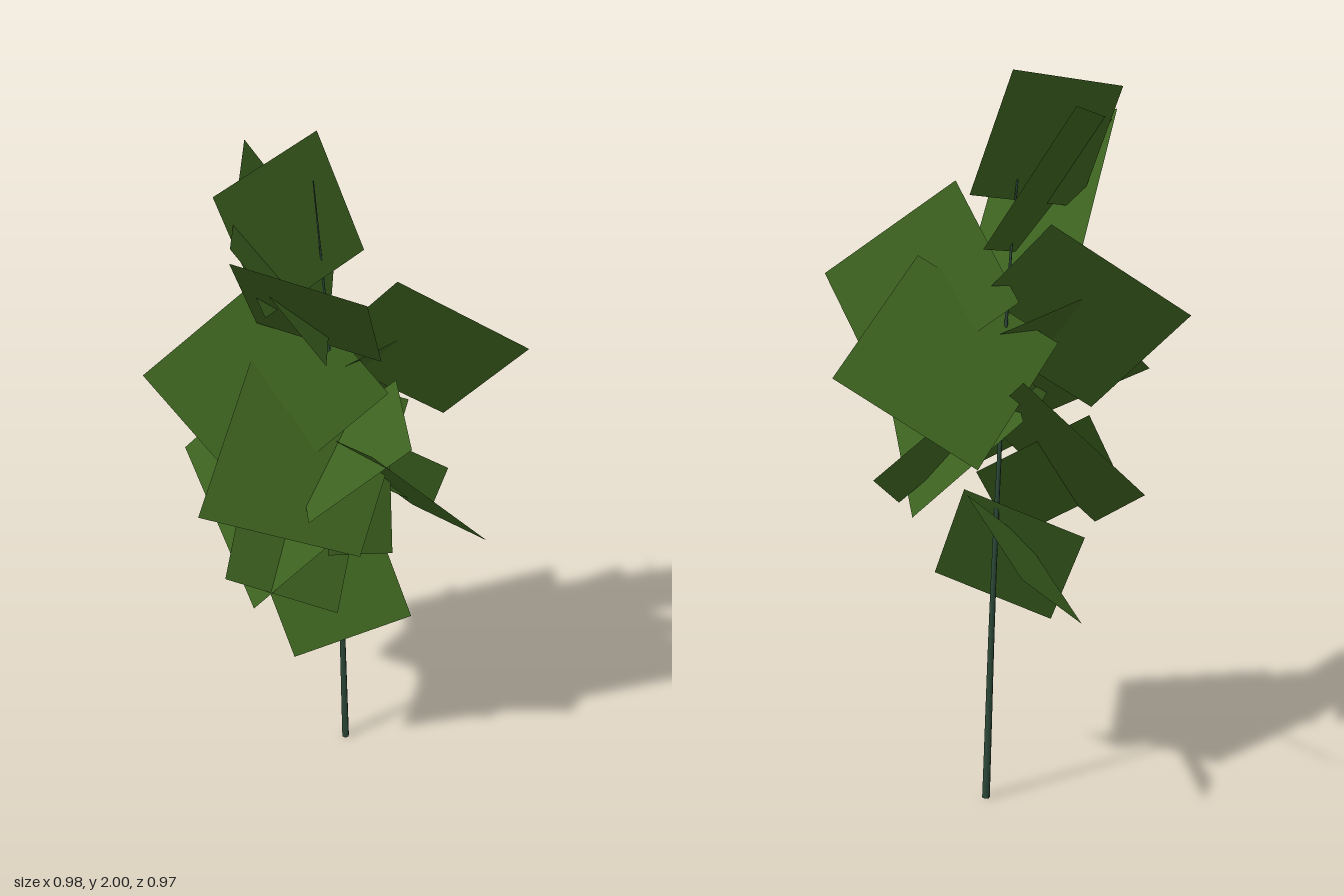
import * as THREE from 'three';

const leafGreen = new THREE.MeshStandardMaterial({ color: 0x3c611f, side: THREE.DoubleSide });
leafGreen.name = 'leaf green';
const stemGreen = new THREE.MeshStandardMaterial({ color: 0x2c4838 });
stemGreen.name = 'stem green';

// Each leaf is a flat card: one corner and its two neighbours; the fourth follows.
const topLeaves = [
  [[-0.02, 1.87, 0.41], [0.30, 1.81, 0.308], [-0.19, 1.48, 0.075]],
  [[-0.09, 2.0, -0.06], [-0.16, 1.945, 0.28], [0.02, 1.675, -0.11]],
  [[-0.305, 1.92, -0.05], [-0.14, 1.56, -0.215], [-0.08, 1.85, 0.325]],
  [[0.43, 1.44, -0.263], [0.19, 1.69, 0], [0.175, 1.14, -0.275]],
];
const middleLeaves = [
  [[0.14, 1.225, -0.485], [-0.175, 1.0, -0.27], [0.2, 1.5, -0.13]],
  [[-0.4, 1.36, 0.293], [-0.19, 1.61, -0.02], [-0.07, 1.065, 0.265]],
  [[-0.49, 0.94, 0.02], [-0.065, 0.73, 0.29], [-0.26, 1.23, -0.19]],
  [[-0.09, 1.145, 0.482], [0.21, 0.96, 0.19], [-0.18, 1.4, 0.11]],
  [[0.49, 1.025, 0.02], [0.10, 0.815, -0.25], [0.25, 1.3, 0.2]],
];
const lowerLeaves = [
  [[0.32, 1.305, 0.125], [0.11, 1.085, 0.28], [0.13, 1.325, -0.1]],
  [[0.165, 0.92, -0.33], [0.17, 0.84, -0.235], [-0.03, 1.22, 0.0]],
  [[0.21, 0.87, 0.03], [0.13, 0.95, 0.22], [0.08, 1.12, -0.15]],
  [[-0.12, 0.84, 0.34], [0.10, 0.68, 0.13], [-0.18, 1.08, 0.14]],
  [[-0.35, 0.75, -0.285], [-0.31, 0.56, -0.02], [-0.06, 0.9, -0.2]],
  [[-0.035, 0.47, 0.145], [0.22, 0.595, -0.06], [-0.215, 0.755, 0.09]],
];

function makeLeaf([p, q, r]) {
  const a = new THREE.Vector3(...p), b = new THREE.Vector3(...q), d = new THREE.Vector3(...r);
  const c = b.clone().add(d).sub(a);
  const geometry = new THREE.BufferGeometry().setFromPoints([a, b, c, d]);
  geometry.setIndex([0, 1, 2, 0, 2, 3]);
  geometry.computeVertexNormals();
  return new THREE.Mesh(geometry, leafGreen);
}

// Curved stem, thinned towards the tip ring by ring.
function makeStem() {
  const path = new THREE.CatmullRomCurve3([
    [-0.018, 0, -0.092], [-0.018, 0.6, -0.063], [-0.018, 1.1, -0.03],
    [-0.02, 1.5, 0.0], [-0.025, 1.93, 0.052],
  ].map((p) => new THREE.Vector3(...p)));
  const rings = 16, sides = 6;
  const geometry = new THREE.TubeGeometry(path, rings, 0.011, sides);
  const pos = geometry.attributes.position, v = new THREE.Vector3();
  for (let i = 0; i <= rings; i++) {
    const centre = path.getPointAt(i / rings);
    for (let j = 0; j <= sides; j++) {
      const k = i * (sides + 1) + j;
      v.fromBufferAttribute(pos, k).sub(centre).multiplyScalar(1 - 0.85 * i / rings).add(centre);
      pos.setXYZ(k, v.x, Math.max(v.y, 0), v.z);
    }
  }
  geometry.computeVertexNormals();
  const stem = new THREE.Mesh(geometry, stemGreen);
  stem.name = 'stem';
  return stem;
}

export function createModel() {
  const model = new THREE.Group();
  model.name = 'leafy plant';
  model.add(makeStem());
  for (const [name, leaves] of Object.entries({ topLeaves, middleLeaves, lowerLeaves })) {
    const group = new THREE.Group();
    group.name = name;
    leaves.forEach((corners, i) => {
      const leaf = makeLeaf(corners);
      leaf.name = `leaf ${i + 1}`;
      group.add(leaf);
    });
    model.add(group);
  }
  return model;
}
